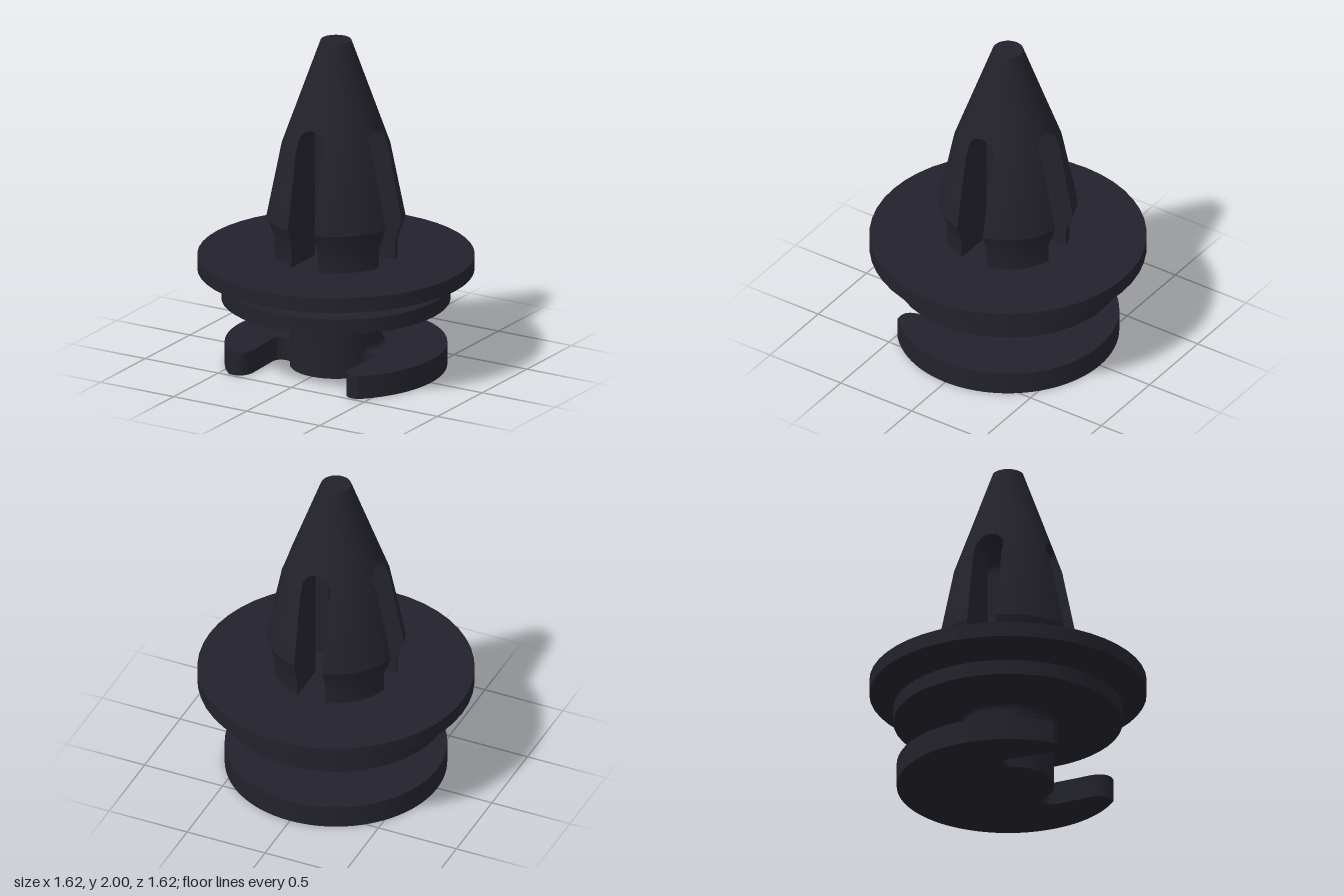
import * as THREE from 'three';
import { toCreasedNormals } from 'three/addons/utils/BufferGeometryUtils.js';

const SEG = 48;
const SLOT = 0.09;      // half width of the cross slots
const ARCH = 1.42;      // height where the slot arches begin
const CREASE = 0.35;

// Radius of the pointed stem at height y
const STEM = [[0.68, 0.36], [0.79, 0.36], [0.92, 0.405], [1.36, 0.318], [2, 0.09]];
function stemRadius(y) {
  for (let i = 1; i < STEM.length; i++) {
    const [y0, r0] = STEM[i - 1], [y1, r1] = STEM[i];
    if (y <= y1) return r0 + (r1 - r0) * (y - y0) / (y1 - y0);
  }
  return 0.09;
}

// Points of an elliptical arc in a lathe profile
function arc(cx, cy, rx, ry, from, to, steps = 6) {
  return Array.from({ length: steps + 1 }, (_, i) => {
    const t = from + (to - from) * i / steps;
    return [cx + rx * Math.cos(t), cy + ry * Math.sin(t)];
  });
}

function lathe(points, start = 0, length = Math.PI * 2) {
  const pts = points.map(([r, y]) => new THREE.Vector2(r, y));
  return toCreasedNormals(new THREE.LatheGeometry(pts, SEG, start, length), CREASE);
}

// One quarter of the slotted stem, from stacked sections narrowing into the arch
function legGeometry() {
  const levels = [0.68, 0.79, 0.92, 1.36].map(y => [y, SLOT]);
  for (let i = 0; i <= 8; i++) {
    const t = i / 8 * Math.PI / 2;
    levels.push([ARCH + SLOT * Math.sin(t), i === 8 ? 0 : SLOT * Math.cos(t)]);
  }
  const n = 12, ring = n + 2, pos = [], index = [];
  for (const [y, w] of levels) {
    const r = stemRadius(y), a0 = Math.asin(w / r);
    pos.push(w, y, w);
    for (let j = 0; j <= n; j++) {
      const a = a0 + (Math.PI / 2 - 2 * a0) * j / n;
      pos.push(r * Math.cos(a), y, r * Math.sin(a));
    }
  }
  for (let i = 0; i < levels.length - 1; i++) {
    for (let j = 0; j < ring; j++) {
      const a = i * ring + j, b = i * ring + (j + 1) % ring;
      index.push(a, a + ring, b, b, a + ring, b + ring);
    }
  }
  const g = new THREE.BufferGeometry();
  g.setAttribute('position', new THREE.Float32BufferAttribute(pos, 3));
  g.setIndex(index);
  return toCreasedNormals(g, CREASE);
}

// Round foot plate, open at the front around the column
function footGeometry() {
  const s = new THREE.Shape();
  const tip = Math.atan2(0.48, 0.44), col = Math.atan2(0.11, 0.247);
  s.moveTo(0.44, 0.48);
  s.absarc(0, 0, 0.65, tip, Math.PI - tip, true);
  s.quadraticCurveTo(-0.34, 0.5, -0.33, 0.39);
  s.lineTo(-0.34, 0.15);
  s.bezierCurveTo(-0.34, 0.09, -0.27, 0.08, -0.247, 0.11);
  s.absarc(0, 0, 0.27, Math.PI - col, col, true);
  s.bezierCurveTo(0.27, 0.08, 0.34, 0.09, 0.34, 0.15);
  s.lineTo(0.33, 0.39);
  s.quadraticCurveTo(0.34, 0.5, 0.44, 0.48);
  const g = new THREE.ExtrudeGeometry(s, { depth: 0.14, bevelEnabled: false, curveSegments: 32 });
  g.rotateX(Math.PI / 2).translate(0, 0.14, 0);
  return toCreasedNormals(g, CREASE);
}

export function createModel() {
  const model = new THREE.Group();
  model.name = 'pushFastener';
  const plastic = new THREE.MeshStandardMaterial({ color: 0x23222c });
  plastic.name = 'darkPlastic';
  const add = (name, geometry) => {
    const mesh = new THREE.Mesh(geometry, plastic);
    mesh.name = name;
    model.add(mesh);
    return mesh;
  };

  add('footPlate', footGeometry());

  // Fillet between column and foot plate, left out at the opening
  add('footFillet', lathe(arc(0.31, 0.18, 0.04, 0.04, Math.PI * 1.5, Math.PI),
    1.2, Math.PI * 2 - 2.4));

  // Column, lower collar, groove and wide flange in one turned profile
  add('columnAndFlanges', lathe([
    [0.27, 0.13],
    ...arc(0.31, 0.37, 0.04, 0.04, Math.PI, Math.PI / 2),
    [0.67, 0.41], [0.67, 0.5],
    ...arc(0.52, 0.545, 0.05, 0.045, Math.PI * 1.5, Math.PI / 2, 10),
    [0.81, 0.59], [0.81, 0.68], [0, 0.68],
  ]));

  // Four stem legs divided by the cross slots
  const leg = legGeometry();
  for (let i = 0; i < 4; i++) add('stemLeg' + (i + 1), leg).rotation.y = i * Math.PI / 2;

  // Solid cone above the slots
  const top = ARCH + SLOT;
  add('stemTip', lathe([[stemRadius(top), top], [0.09, 2], [0, 2]]));

  return model;
}
